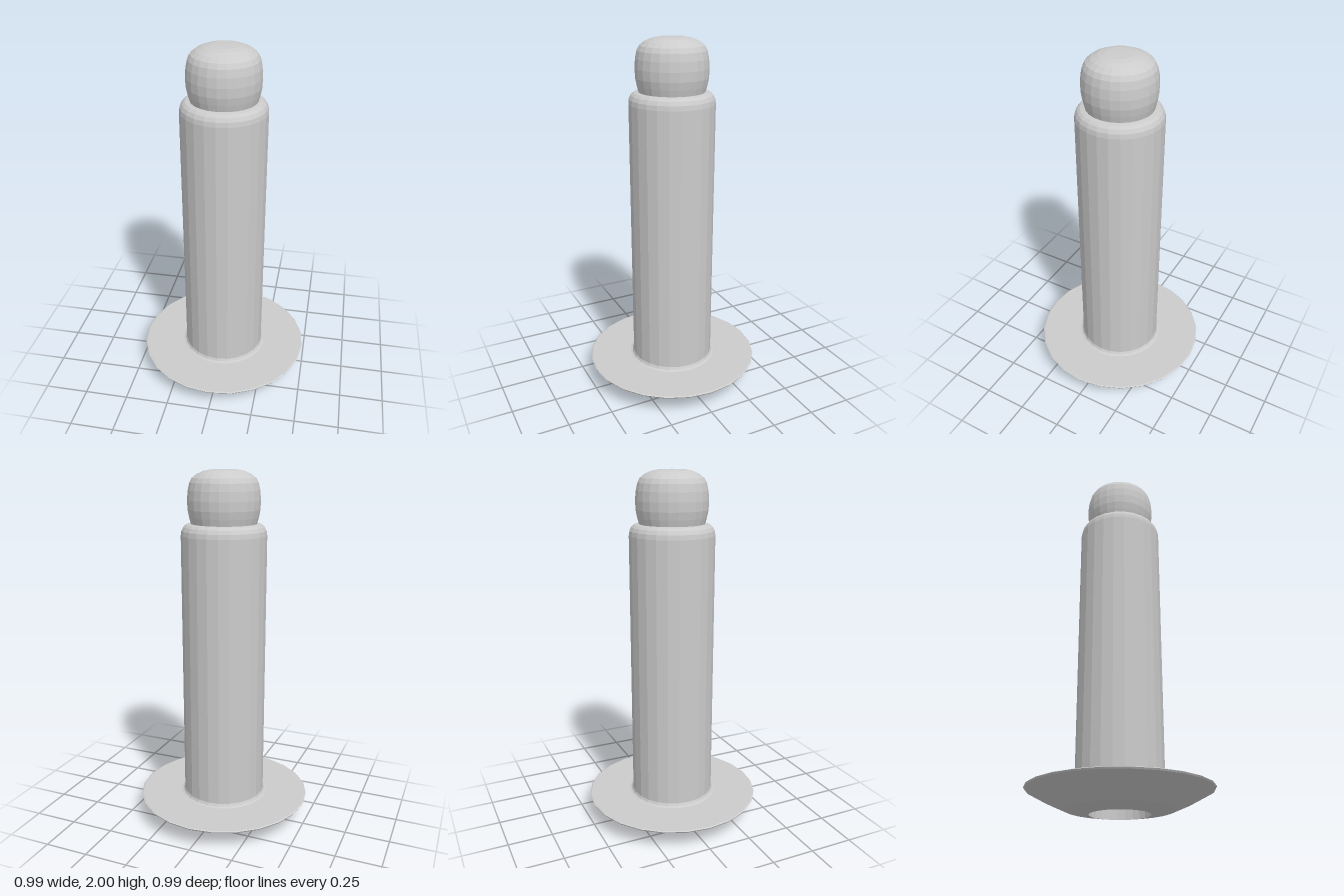
import * as THREE from 'three';

const SIDES = 24;

export function createModel() {
  const model = new THREE.Group();
  model.name = 'rivet';
  const material = new THREE.MeshStandardMaterial({ color: 0xcccccc, flatShading: true });

  // Turned part from a [radius, height] profile
  function turned(name, profile) {
    const points = profile.map(([r, y]) => new THREE.Vector2(r, y));
    const mesh = new THREE.Mesh(new THREE.LatheGeometry(points, SIDES), material);
    mesh.name = name;
    model.add(mesh);
  }

  // Dished flange with a blind hole underneath, filleted into the shank
  turned('flangeAndShank', [
    [0, 0.13], [0.16, 0.13], [0.16, 0],
    [0.285, 0.022], [0.395, 0.07], [0.49, 0.12], [0.495, 0.128], [0.488, 0.132],
    [0.38, 0.132], [0.255, 0.133], [0.242, 0.138], [0.235, 0.152],
    [0.235, 1.655], [0.231, 1.68], [0.22, 1.7], [0.205, 1.712], [0.185, 1.716], [0, 1.716],
  ]);

  // Rounded, slightly barrelled tip
  turned('tip', [
    [0.178, 1.712], [0.188, 1.75], [0.196, 1.79], [0.198, 1.84], [0.194, 1.89],
    [0.185, 1.93], [0.171, 1.955], [0.145, 1.975], [0.11, 1.99], [0.075, 1.997], [0, 2],
  ]);

  return model;
}
